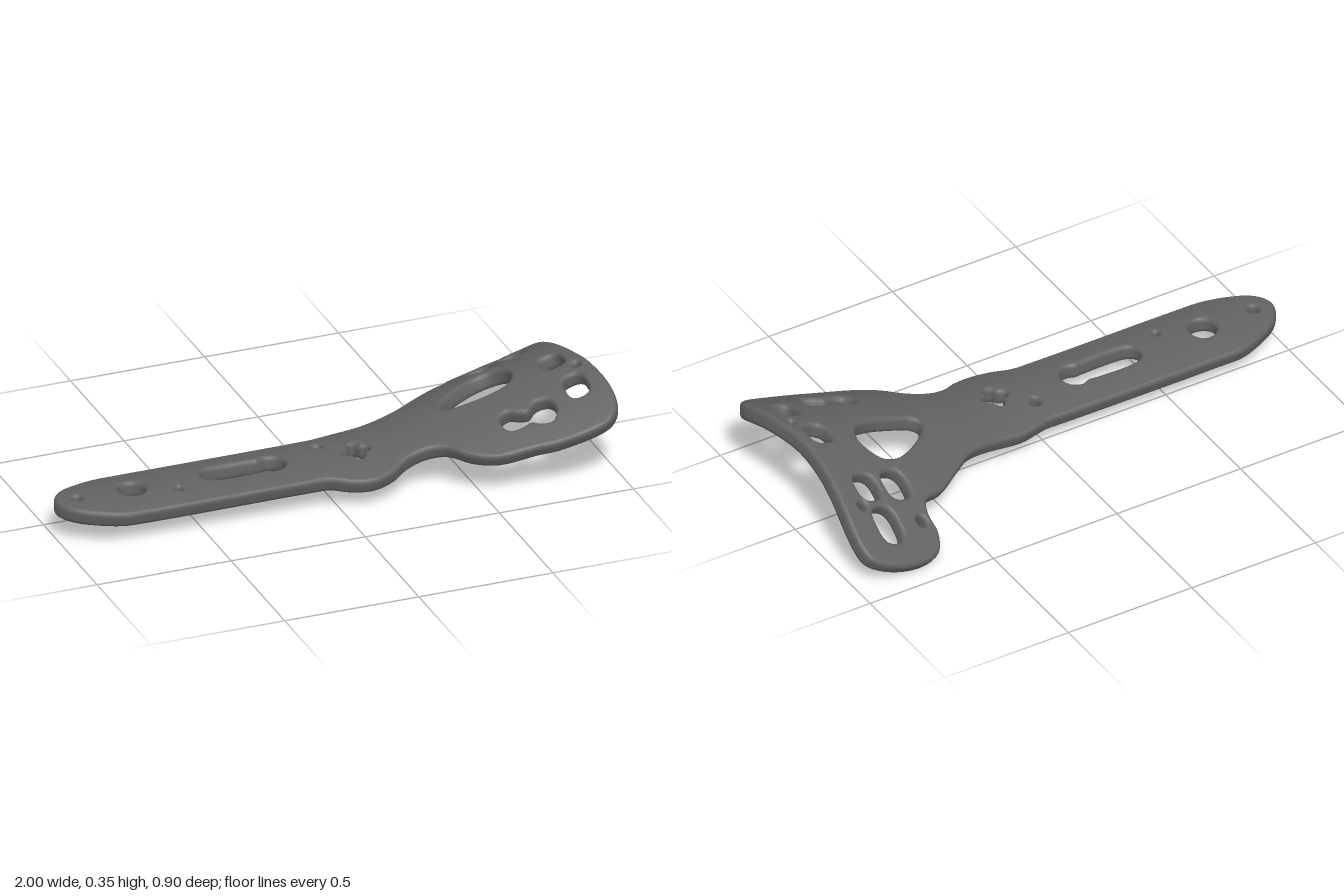
import * as THREE from 'three';
import { mergeVertices } from 'three/addons/utils/BufferGeometryUtils.js';

const THICK = 0.06, ROUND = 0.02, INSET = 0.014;

// Smooth closed loop through [x, z] points, wound counter-clockwise
function loop(points, n) {
  const curve = new THREE.CatmullRomCurve3(points.map(([x, z]) => new THREE.Vector3(x, -z, 0)), true, 'centripetal');
  return curve.getPoints(n).slice(0, n).map(p => new THREE.Vector2(p.x, p.y)).reverse();
}

// Closed loop from a radius rule around a centre
function radial(x, z, radius, n = 24) {
  return Array.from({ length: n }, (_, i) => {
    const a = i / n * Math.PI * 2, r = radius(a);
    return new THREE.Vector2(x + r * Math.cos(a), -z + r * Math.sin(a));
  });
}
const round = (x, z, r) => radial(x, z, () => r, 20);
const squarish = (x, z, w, h) => radial(x, z, a =>
  Math.pow(Math.pow(Math.abs(Math.cos(a) / w), 3) + Math.pow(Math.abs(Math.sin(a) / h), 3), -1 / 3));

// Plate edge seen from above
const outline = loop([
  [-1, 0.1], [-0.987, 0.057], [-0.955, 0.018], [-0.9, -0.014], [-0.8, -0.049], [-0.7, -0.052],
  [-0.05, -0.052], [0, -0.052], [0.045, -0.06], [0.11, -0.073], [0.24, -0.076], [0.35, -0.1],
  [0.43, -0.15], [0.54, -0.22], [0.62, -0.245], [0.64, -0.29], [0.637, -0.35], [0.67, -0.41],
  [0.75, -0.441], [0.885, -0.441], [0.955, -0.41], [0.97, -0.35], [0.95, -0.13], [0.955, 0.03],
  [0.978, 0.16], [0.996, 0.32], [0.985, 0.385], [0.955, 0.418], [0.91, 0.431], [0.75, 0.425], [0.68, 0.41],
  [0.54, 0.385], [0.455, 0.335], [0.39, 0.265], [0.32, 0.24], [0.25, 0.25], [0.19, 0.283],
  [0.11, 0.3], [0.03, 0.285], [-0.035, 0.256], [-0.1, 0.252], [-0.7, 0.252], [-0.8, 0.247],
  [-0.9, 0.213], [-0.955, 0.18], [-0.987, 0.143],
], 184);

const holes = [
  // shaft: round holes, keyed slot, clover
  round(-0.92, 0.1, 0.018), round(-0.715, 0.1, 0.048), round(-0.56, 0.155, 0.012), round(0, 0.04, 0.017),
  loop([[-0.457, 0.1], [-0.445, 0.072], [-0.415, 0.058], [-0.25, 0.058], [-0.23, 0.06], [-0.195, 0.05],
    [-0.16, 0.065], [-0.145, 0.1], [-0.16, 0.135], [-0.195, 0.15], [-0.23, 0.14], [-0.25, 0.142],
    [-0.415, 0.142], [-0.445, 0.128]], 56),
  radial(0.112, 0.125, a => 0.041 + 0.01 * Math.cos(4 * a), 32),
  // head: large window and double hole
  loop([[0.46, 0.055], [0.49, 0.01], [0.57, -0.05], [0.64, -0.08], [0.695, -0.075], [0.73, -0.03],
    [0.735, 0.03], [0.7, 0.08], [0.63, 0.097], [0.53, 0.092], [0.475, 0.08]], 44),
  loop([[0.602, 0.27], [0.61, 0.24], [0.637, 0.23], [0.665, 0.25], [0.7, 0.265], [0.735, 0.24], [0.778, 0.25],
    [0.792, 0.295], [0.767, 0.333], [0.728, 0.327], [0.695, 0.305], [0.66, 0.31], [0.62, 0.303]], 52),
  // head: screw holes and small wire holes
  squarish(0.89, 0.24, 0.038, 0.05), squarish(0.87, 0.065, 0.04, 0.047), squarish(0.71, -0.18, 0.042, 0.05),
  squarish(0.825, -0.178, 0.039, 0.045), squarish(0.82, -0.31, 0.041, 0.058),
  round(0.685, -0.31, 0.016), round(0.882, -0.24, 0.013), round(0.93, 0.145, 0.014),
];

// Height of the middle surface: flat shaft rising to an arched head
function height(x, z) {
  const t = x - 0.19, d2 = (z - 0.11) ** 2;
  const rise = 0.27 * (t + Math.sqrt(t * t + 0.01)) / 2;
  return 0.113 + rise - 0.97 * d2 + 0.55 * d2 * d2;
}

// Split every edge longer than the limit, so the flat plate can bend smoothly
function subdivide(geometry, limit) {
  const p = geometry.getAttribute('position'), out = [], stack = [];
  for (let i = 0; i < p.count; i += 3)
    stack.push([0, 1, 2].map(k => new THREE.Vector3().fromBufferAttribute(p, i + k)));
  while (stack.length) {
    const [a, b, c] = stack.pop();
    const ab = a.distanceTo(b), bc = b.distanceTo(c), ca = c.distanceTo(a), max = Math.max(ab, bc, ca);
    if (max <= limit) {
      for (const v of [a, b, c]) out.push(v.x, v.y, v.z);
      continue;
    }
    const [u, v, w] = max === ab ? [a, b, c] : max === bc ? [b, c, a] : [c, a, b];
    const m = u.clone().add(v).multiplyScalar(0.5);
    stack.push([u, m, w], [m, v, w]);
  }
  return new THREE.BufferGeometry().setAttribute('position', new THREE.Float32BufferAttribute(out, 3));
}

export function createModel() {
  const group = new THREE.Group();
  group.name = 'contouredPlate';
  const metal = new THREE.MeshStandardMaterial({ color: 0x626264 });
  metal.name = 'dark grey metal';

  // Flat rounded plate with all its openings
  const shape = new THREE.Shape(outline);
  shape.holes = holes.map(h => new THREE.Path(h));
  const flat = new THREE.ExtrudeGeometry(shape, {
    depth: THICK - 2 * ROUND, bevelThickness: ROUND, bevelSize: INSET, bevelOffset: -INSET, bevelSegments: 4,
  });
  const geometry = mergeVertices(subdivide(flat, 0.06), 1e-5);

  // Bend: offset each point along the normal of the middle surface
  const pos = geometry.getAttribute('position'), e = 0.002, n = new THREE.Vector3();
  for (let i = 0; i < pos.count; i++) {
    const x = pos.getX(i), z = -pos.getY(i), w = pos.getZ(i) - (THICK / 2 - ROUND);
    n.set(
      (height(x - e, z) - height(x + e, z)) / (2 * e), 1,
      (height(x, z - e) - height(x, z + e)) / (2 * e),
    ).normalize();
    pos.setXYZ(i, x + n.x * w, height(x, z) + n.y * w, z + n.z * w);
  }
  geometry.computeVertexNormals();
  geometry.computeBoundingBox();
  const box = geometry.boundingBox;
  geometry.translate(-(box.min.x + box.max.x) / 2, -box.min.y, -(box.min.z + box.max.z) / 2);

  const plate = new THREE.Mesh(geometry, metal);
  plate.name = 'plate';
  group.add(plate);
  return group;
}
